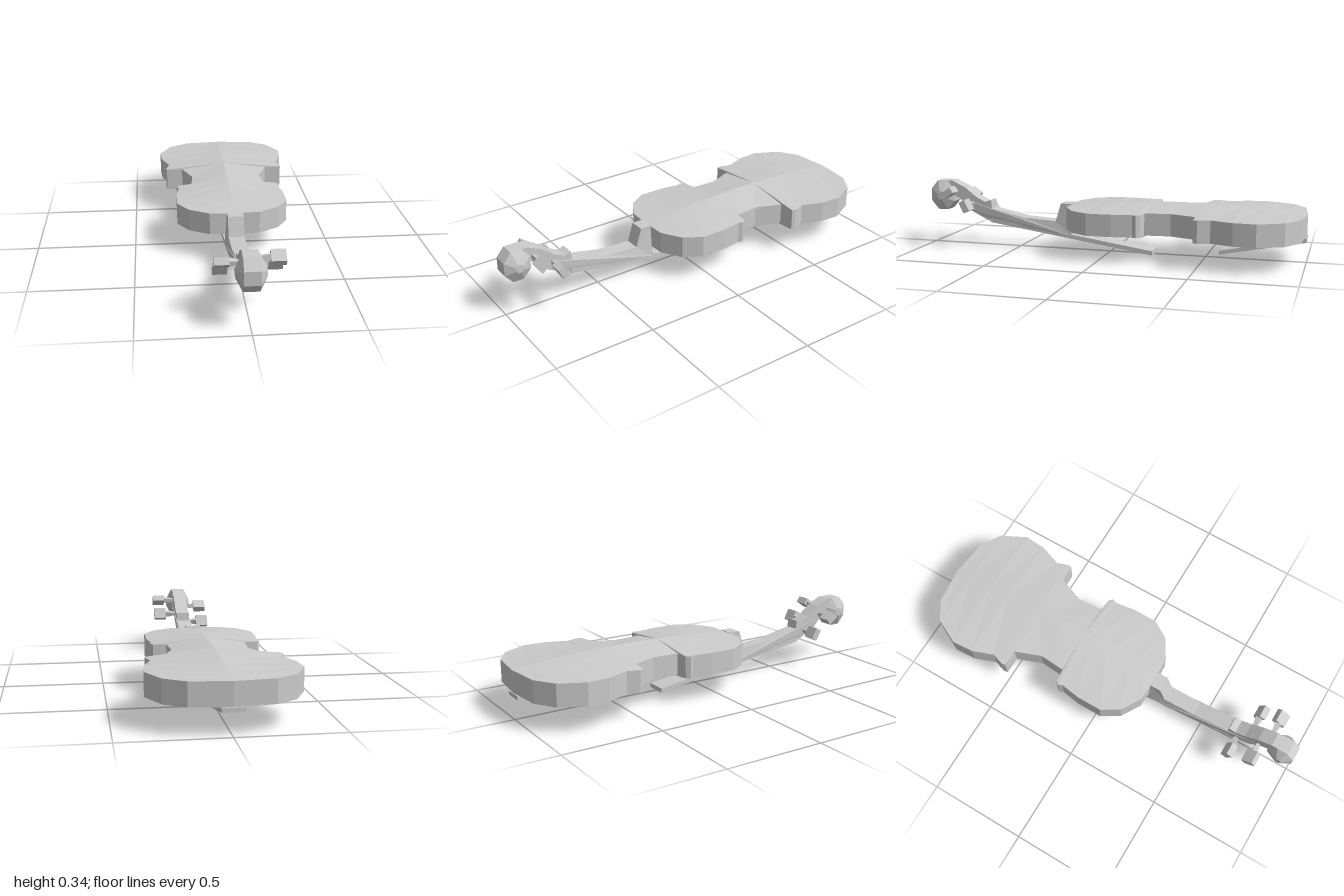
import * as THREE from 'three';

const material = new THREE.MeshStandardMaterial({ color: 0xcccccc, flatShading: true });

function part(name, geometry) {
  const flat = geometry.index ? geometry.toNonIndexed() : geometry;
  flat.computeVertexNormals();
  const mesh = new THREE.Mesh(flat, material);
  mesh.name = name;
  return mesh;
}

// Half outline of the body as [x, z], from the tail to the neck
const outline = [
  [0, -1], [0.19, -0.98], [0.29, -0.915], [0.352, -0.79], [0.345, -0.68], [0.305, -0.57],
  [0.325, -0.51], [0.32, -0.49], [0.235, -0.488], [0.185, -0.355], [0.195, -0.225],
  [0.26, -0.22], [0.275, -0.2], [0.265, -0.18], [0.28, -0.08], [0.28, 0.05],
  [0.225, 0.14], [0.125, 0.2], [0, 0.206],
];

// Ribs with gently arched plates rising to a centre spine
function bodyGeometry() {
  const top = 0.242, bottom = 0.131;
  const positions = [];
  const arch = (z) => Math.max(0, 1 - ((z + 0.4) / 0.6) ** 2);
  const quad = (side, a, b, c, d) => {
    const order = side > 0 ? [a, b, c, a, c, d] : [a, c, b, a, d, c];
    order.forEach(([x, y, z]) => positions.push(side * x, y, z));
  };
  for (const side of [1, -1]) {
    for (let i = 0; i < outline.length - 1; i++) {
      const [[x0, z0], [x1, z1]] = [outline[i], outline[i + 1]];
      const t0 = [x0, top, z0], t1 = [x1, top, z1];
      const b0 = [x0, bottom, z0], b1 = [x1, bottom, z1];
      const spine = (y, h, z) => [0, y + h * arch(z), z];
      quad(side, spine(top, 0.033, z0), spine(top, 0.033, z1), t1, t0);
      quad(side, t0, t1, b1, b0);
      quad(side, spine(bottom, -0.027, z0), b0, b1, spine(bottom, -0.027, z1));
    }
  }
  const geometry = new THREE.BufferGeometry();
  geometry.setAttribute('position', new THREE.Float32BufferAttribute(positions, 3));
  return geometry;
}

// Thin tapered plank between two ends: z, underside height, half width
function plankGeometry(back, front, thickness) {
  const geometry = new THREE.BoxGeometry(2, 1, 1);
  const p = geometry.attributes.position;
  for (let i = 0; i < p.count; i++) {
    const [z, y, w] = p.getZ(i) > 0 ? front : back;
    p.setXYZ(i, p.getX(i) * w, y + (p.getY(i) + 0.5) * thickness, z);
  }
  return geometry;
}

// Side profile [z, y] of heel, neck and peg head, swept across x
function neckGeometry() {
  const profile = [
    [0.2, 0.245], [0.2, 0.075], [0.655, 0.14], [0.67, 0.135], [0.78, 0.19], [0.835, 0.25],
    [0.88, 0.27], [0.95, 0.27], [0.94, 0.342], [0.875, 0.342], [0.805, 0.31], [0.74, 0.26],
    [0.69, 0.235], [0.655, 0.245], [0.65, 0.2], [0.46, 0.16], [0.29, 0.15], [0.26, 0.245],
  ];
  const shape = new THREE.Shape(profile.map(([z, y]) => new THREE.Vector2(z, y)));
  const geometry = new THREE.ExtrudeGeometry(shape, { depth: 2, bevelEnabled: false });
  geometry.translate(0, 0, -1).rotateY(-Math.PI / 2);
  const p = geometry.attributes.position;
  for (let i = 0; i < p.count; i++) {
    const heel = THREE.MathUtils.clamp((0.65 - p.getZ(i)) / 0.45, 0, 1);
    const low = p.getY(i) < 0.12 ? 0.012 : 0;
    p.setX(i, p.getX(i) * (0.036 + 0.004 * heel + low));
  }
  return geometry;
}

// Faceted scroll, bulging at both cheeks
function scrollGeometry() {
  const profile = [[0, -0.068], [0.022, -0.068], [0.08, -0.037], [0.08, 0.037], [0.022, 0.068], [0, 0.068]];
  const geometry = new THREE.LatheGeometry(profile.map(([r, x]) => new THREE.Vector2(r, x)), 8);
  geometry.rotateY(Math.PI / 8).rotateZ(-Math.PI / 2);
  return geometry.scale(1, 1.06, 0.9).translate(0, 0.264, 0.933);
}

// Tuning peg: flared four-sided stem with a block grip
function makePeg(side, gripX, y, z, tilt) {
  const peg = new THREE.Group();
  peg.name = 'tuningPeg';
  const length = gripX - 0.03 - 0.033;
  const stem = part('pegStem', new THREE.CylinderGeometry(0.021, 0.01, length, 4));
  stem.rotation.z = -side * Math.PI / 2;
  stem.position.x = side * (0.03 + length / 2);
  const grip = part('pegGrip', new THREE.BoxGeometry(0.066, 0.035, 0.062));
  grip.position.x = side * gripX;
  peg.add(stem, grip);
  peg.position.set(0, y, z);
  peg.rotation.x = tilt;
  return peg;
}

export function createModel() {
  const model = new THREE.Group();
  model.name = 'violin';
  model.add(
    part('body', bodyGeometry()),
    part('neck', neckGeometry()),
    part('scroll', scrollGeometry()),
    part('fingerboard', plankGeometry([-0.233, 0, 0.054], [0.66, 0.128, 0.04], 0.022)),
    part('tailpiece', plankGeometry([-1, 0.108, 0.05], [-0.575, 0.025, 0.05], 0.02)),
  );
  const pegs = [
    [-1, 0.1155, 0.185, 0.705, -1.1], [-1, 0.1155, 0.259, 0.815, -0.6],
    [1, 0.1265, 0.225, 0.757, -1.1], [1, 0.1265, 0.292, 0.852, 0.6],
  ];
  pegs.forEach((peg) => model.add(makePeg(...peg)));
  return model;
}
